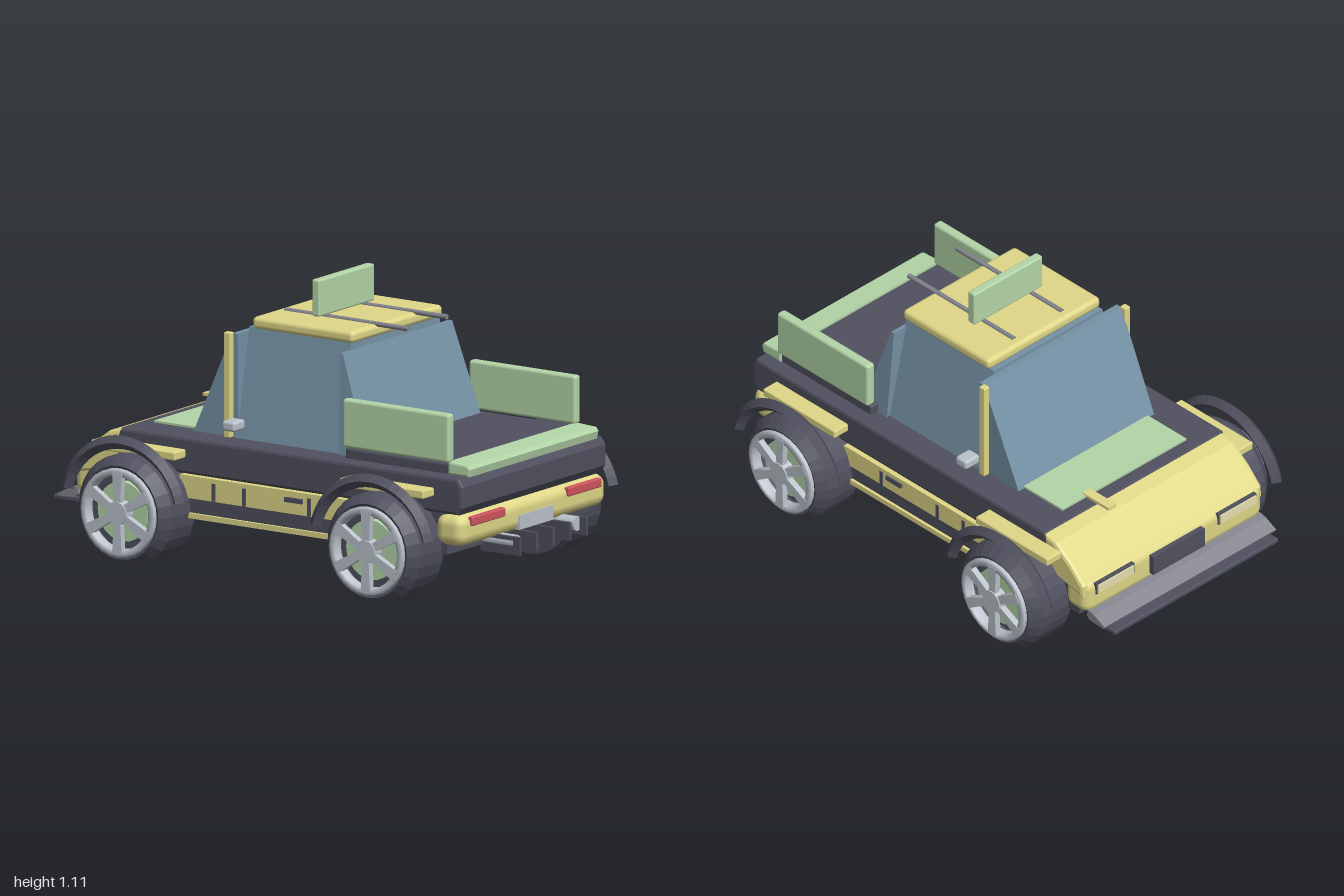
import * as THREE from 'three';
import { RoundedBoxGeometry } from 'three/addons/geometries/RoundedBoxGeometry.js';

const mat = (name, color) => {
  const m = new THREE.MeshStandardMaterial({ color });
  m.name = name;
  return m;
};

export function createModel() {
  const yellow = mat('yellow paint', 0xe0d888);
  const dark = mat('dark trim', 0x50505f);
  const green = mat('pale green', 0xb4d6a8);
  const glass = mat('blue glass', 0x7592a5);
  const red = mat('red lamp', 0xd0555f);
  const silver = mat('silver', 0xbcc3cc);
  const steel = mat('steel grey', 0x85858f);
  const cream = mat('headlamp cream', 0xe8e0b0);
  const car = new THREE.Group();
  car.name = 'pickup';

  const add = (name, geo, material, parent = car) => {
    const m = new THREE.Mesh(geo, material);
    m.name = name;
    parent.add(m);
    return m;
  };
  // Box given by its limits, optionally rounded
  const box = (name, material, x0, x1, y0, y1, z0, z1, r = 0, parent = car) => {
    const s = [x1 - x0, y1 - y0, z1 - z0];
    const geo = r ? new RoundedBoxGeometry(...s, 2, r) : new THREE.BoxGeometry(...s);
    geo.translate((x0 + x1) / 2, (y0 + y1) / 2, (z0 + z1) / 2);
    return add(name, geo, material, parent);
  };
  // The same box on both sides
  const pair = (name, material, x0, x1, ...rest) => {
    box(name + 'Left', material, x0, x1, ...rest);
    box(name + 'Right', material, -x1, -x0, ...rest);
  };
  // Tapered block between a bottom and a top rectangle: [halfWidth, y, zBack, zFront]
  const taper = (name, material, bottom, top) => {
    const geo = new THREE.BoxGeometry(2, 2, 2);
    const p = geo.attributes.position;
    for (let i = 0; i < p.count; i++) {
      const [w, y, z0, z1] = p.getY(i) > 0 ? top : bottom;
      p.setXYZ(i, p.getX(i) * w, y, p.getZ(i) < 0 ? z0 : z1);
    }
    geo.computeVertexNormals();
    return add(name, geo, material);
  };
  // Side profile of [z, y] points extruded across the car
  const prism = (name, material, pts, halfWidth, bevel = 0) => {
    const shape = new THREE.Shape(pts.map(([z, y]) => new THREE.Vector2(z, y)));
    const depth = 2 * (halfWidth - bevel);
    const geo = new THREE.ExtrudeGeometry(shape, {
      depth, bevelEnabled: bevel > 0, bevelSize: bevel, bevelOffset: -bevel,
      bevelThickness: bevel, bevelSegments: 2,
    });
    geo.translate(0, 0, -depth / 2).rotateY(-Math.PI / 2);
    return add(name, geo, material);
  };
  const flat = (geo) => {
    const g = geo.index ? geo.toNonIndexed() : geo;
    g.computeVertexNormals();
    return g;
  };

  // Hull and upper body
  box('chassis', dark, -0.45, 0.45, 0.2, 0.37, -0.83, 0.83);
  prism('upperBody', dark, [[0.89, 0.36], [0.91, 0.39], [0.91, 0.47], [0.89, 0.5],
    [-0.66, 0.5], [-0.68, 0.47], [-0.68, 0.36]], 0.47, 0.012);
  box('bedCover', dark, -0.41, 0.41, 0.49, 0.54, 0.33, 0.82, 0.01);

  // Nose, bumpers and hood
  prism('hood', yellow, [[-0.66, 0.34], [-0.66, 0.495], [-0.72, 0.48],
    [-0.8, 0.42], [-0.87, 0.35], [-0.87, 0.3]], 0.47, 0.015);
  box('frontBumper', yellow, -0.465, 0.465, 0.22, 0.365, -0.885, -0.76, 0.04);
  box('rearBumper', yellow, -0.475, 0.475, 0.235, 0.36, 0.78, 0.915, 0.045);
  box('hoodPanel', green, -0.325, 0.325, 0.5, 0.508, -0.61, -0.38);
  box('hoodStrip', yellow, 0.16, 0.2, 0.5, 0.512, -0.73, -0.59);

  // Side trim: moulding, door band, sill
  pair('sideBand', yellow, 0.44, 0.472, 0.27, 0.345, -0.4, 0.42);
  pair('sideMoulding', yellow, 0.44, 0.484, 0.343, 0.36, -0.38, 0.4);
  pair('sill', yellow, 0.44, 0.48, 0.195, 0.215, -0.4, 0.42);
  pair('darkSill', dark, 0.44, 0.468, 0.215, 0.27, -0.4, 0.42);
  for (const z of [-0.23, -0.09, 0.21]) {
    pair('doorSeam', dark, 0.47, 0.477, 0.272, 0.34, z - 0.007, z + 0.007);
  }
  pair('doorHandle', dark, 0.47, 0.482, 0.315, 0.333, 0.1, 0.18);

  // Cabin
  taper('cabin', glass, [0.365, 0.49, -0.21, 0.29], [0.285, 0.915, -0.2, 0.27]);
  taper('windscreen', glass, [0.355, 0.49, -0.41, -0.2], [0.36, 0.9, -0.225, -0.2]);
  taper('rearWindow', glass, [0.377, 0.5, 0.28, 0.41], [0.355, 0.885, 0.265, 0.28]);
  pair('windowPillar', yellow, 0.355, 0.383, 0.5, 0.905, -0.25, -0.22, 0.005);
  box('roof', yellow, -0.295, 0.295, 0.91, 0.957, -0.183, 0.283, 0.018);
  pair('mirror', silver, 0.37, 0.445, 0.54, 0.58, -0.215, -0.155, 0.012);

  // Roof rails and board
  for (const x of [-0.126, 0.126]) {
    const rail = add('roofRail', new THREE.CylinderGeometry(0.01, 0.01, 0.565, 10), steel);
    rail.rotation.x = Math.PI / 2;
    rail.position.set(x, 0.957, 0.137);
  }
  box('roofBoard', green, -0.18, 0.18, 0.963, 1.105, 0.012, 0.048, 0.008);

  // Bed side panels and tail lip
  pair('bedPanel', green, 0.39, 0.43, 0.545, 0.732, 0.33, 0.82, 0.012);
  prism('tailLip', green, [[0.81, 0.5], [0.905, 0.5], [0.912, 0.53], [0.9, 0.545],
    [0.81, 0.55]].reverse(), 0.42, 0.008);

  // Rear details
  pair('tailLamp', red, 0.205, 0.42, 0.315, 0.35, 0.9, 0.925, 0.006);
  box('rearPlate', silver, -0.11, 0.11, 0.245, 0.3, 0.9, 0.92);
  for (let i = -2; i <= 2; i++) {
    box('diffuserFin', dark, i * 0.108 - 0.007, i * 0.108 + 0.007, 0.175, 0.245, 0.82, 1);
  }
  for (const x of [-0.197, 0.197]) {
    const pipe = add('exhaust', new THREE.CylinderGeometry(0.028, 0.028, 0.17, 16), silver);
    pipe.rotation.x = Math.PI / 2;
    pipe.position.set(x, 0.22, 0.885);
  }

  // Front details
  pair('headlampFrame', dark, 0.22, 0.42, 0.305, 0.352, -0.89, -0.86);
  pair('headlamp', cream, 0.227, 0.413, 0.311, 0.346, -0.896, -0.87);
  box('frontPlate', dark, -0.135, 0.135, 0.26, 0.34, -0.905, -0.87);
  box('splitter', dark, -0.43, 0.43, 0.175, 0.195, -1, -0.85, 0.006);
  prism('splitterWing', steel, [[-0.87, 0.215], [-0.89, 0.2], [-0.96, 0.197],
    [-0.965, 0.207], [-0.91, 0.235], [-0.875, 0.243]], 0.45);

  // Wheels, arches and flares
  const tyreGeo = flat(new THREE.LatheGeometry([[0, 0.42], [0.2, 0.42], [0.215, 0.44],
    [0.215, 0.585], [0.18, 0.627], [0.163, 0.62], [0.16, 0.57], [0, 0.57]]
    .map(([r, y]) => new THREE.Vector2(r, y)), 28));
  const ringGeo = new THREE.LatheGeometry([[0.143, 0.6], [0.17, 0.6], [0.17, 0.635],
    [0.163, 0.64], [0.143, 0.64], [0.143, 0.6]].map(([r, y]) => new THREE.Vector2(r, y)), 28);
  const discGeo = new THREE.CylinderGeometry(0.115, 0.115, 0.03, 24).translate(0, 0.59, 0);
  const hubGeo = new THREE.CylinderGeometry(0.045, 0.05, 0.06, 12).translate(0, 0.617, 0);
  for (const g of [tyreGeo, ringGeo, discGeo, hubGeo]) g.rotateZ(-Math.PI / 2);
  const spokeShape = new THREE.Shape([[-0.014, 0.02], [0.014, 0.02], [0.022, 0.155],
    [-0.022, 0.155]].map(([x, y]) => new THREE.Vector2(x, y)));
  const spokeGeo = new THREE.ExtrudeGeometry(spokeShape, { depth: 0.025, bevelEnabled: false });
  spokeGeo.rotateY(Math.PI / 2).translate(0.617, 0, 0);
  const start = 0.24;
  const archGeo = flat(new THREE.TorusGeometry(0.265, 0.026, 4, 22, Math.PI - 2 * start));
  archGeo.rotateZ(start).rotateY(Math.PI / 2).translate(0.6, 0, 0);
  const archMat = dark.clone();
  archMat.side = THREE.DoubleSide;

  for (const side of [1, -1]) {
    for (const z of [0.588, -0.556]) {
      const wheel = new THREE.Group();
      wheel.name = (z > 0 ? 'rear' : 'front') + 'Wheel' + (side > 0 ? 'Left' : 'Right');
      wheel.position.set(0, 0.215, z);
      wheel.rotation.y = side > 0 ? 0 : Math.PI;
      car.add(wheel);
      add('tyre', tyreGeo, dark, wheel);
      add('brakeDisc', discGeo, green, wheel);
      add('rimRing', ringGeo, silver, wheel);
      add('hub', hubGeo, silver, wheel);
      for (let i = 0; i < 6; i++) {
        add('spoke', spokeGeo, silver, wheel).rotation.x = i * Math.PI / 3;
      }
      add('wheelArch', archGeo, archMat, wheel);
      box('fenderFlare', yellow, 0.44, 0.54, 0.207, 0.24, -0.193, 0.193, 0.006, wheel);
    }
  }
  return car;
}
